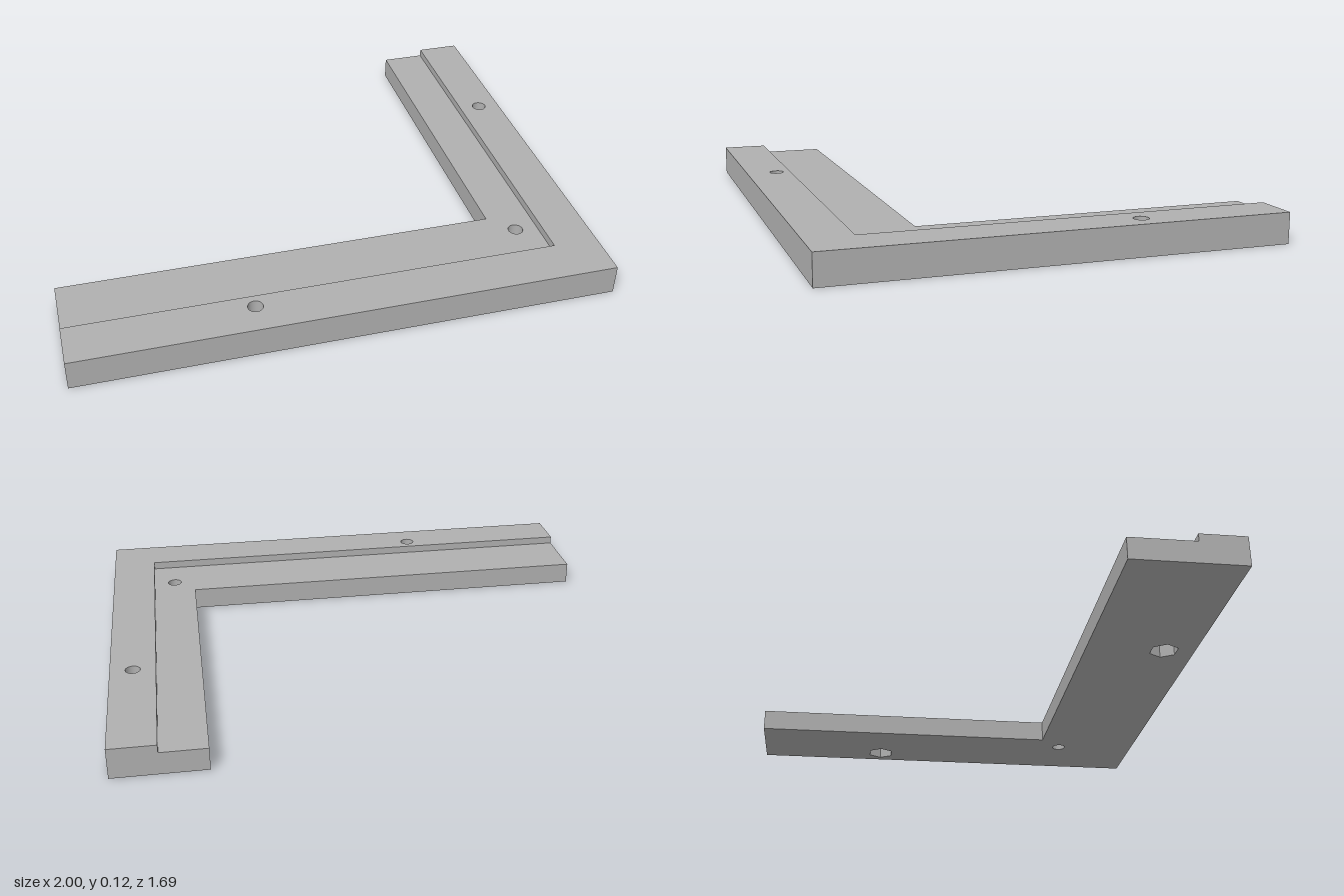
import * as THREE from 'three';
import { mergeVertices } from 'three/addons/utils/BufferGeometryUtils.js';

const X = 1, Z = 0.845;                 // half extents
const POCKET = 0.05, TREAD = 0.085, TOP = 0.115; // heights

// Points are [x, z]. Outlines run so that their walls face outwards.
const corner = (x, z) => [[-X, Z], [X, Z], [X, -Z], [x, -Z], [x, z], [-X, z]];
const bracketOutline = corner(0.66, 0.42);
const rimOutline = corner(0.83, 0.67);
const treadOutline = [[-X, 0.67], [0.83, 0.67], [0.83, -Z], [0.66, -Z], [0.66, 0.42], [-X, 0.42]];

// Ring of points running the other way, so its walls face the axis.
function ring([cx, cz], r, n) {
  return Array.from({ length: n }, (_, i) => {
    const t = (i / n) * Math.PI * 2;
    return [cx + r * Math.cos(t), cz + r * Math.sin(t)];
  });
}

// Flat face at height y, facing up (dir 1) or down (dir -1).
function cap(outline, holes, y, dir) {
  const flat = pts => pts.map(([x, z]) => new THREE.Vector2(x, -dir * z));
  const shape = new THREE.Shape(flat(outline));
  shape.holes = holes.map(h => new THREE.Path(flat(h)));
  return new THREE.ShapeGeometry(shape).rotateX(-dir * Math.PI / 2).translate(0, y, 0);
}

// Upright walls along a closed loop of points.
function wall(pts, y0, y1, smooth = false) {
  const pos = [];
  pts.forEach(([ax, az], i) => {
    const [bx, bz] = pts[(i + 1) % pts.length];
    pos.push(ax, y0, az, bx, y0, bz, bx, y1, bz, ax, y0, az, bx, y1, bz, ax, y1, az);
  });
  let geo = new THREE.BufferGeometry();
  geo.setAttribute('position', new THREE.Float32BufferAttribute(pos, 3));
  if (smooth) geo = mergeVertices(geo);
  geo.computeVertexNormals();
  return geo;
}

export function createModel() {
  const model = new THREE.Group();
  model.name = 'cornerBracket';
  const grey = new THREE.MeshStandardMaterial({ color: 0xb0b0b0 });
  grey.name = 'grey';
  const add = (name, geo) => {
    const mesh = new THREE.Mesh(geo, grey);
    mesh.name = name;
    model.add(mesh);
  };

  const rimCentres = [[-0.325, 0.725], [0.915, -0.31]];
  const rimHoles = rimCentres.map(c => ring(c, 0.028, 32));
  const nutPockets = rimCentres.map(c => ring(c, 0.057, 6));
  const cornerHole = ring([0.745, 0.51], 0.028, 32);

  // L-shaped body with a lower inner ledge and a raised outer rim
  add('underside', cap(bracketOutline, [...nutPockets, cornerHole], 0, -1));
  add('bodySides', wall(bracketOutline, 0, TREAD));
  add('ledge', cap(treadOutline, [cornerHole], TREAD, 1));
  add('rimSides', wall(rimOutline, TREAD, TOP));
  add('rimTop', cap(rimOutline, rimHoles, TOP, 1));

  // Plain screw hole at the corner
  add('cornerHole', wall(cornerHole, 0, TREAD, true));

  // Rim screw holes opening into hexagonal nut pockets below
  rimHoles.forEach((hole, i) => {
    add('rimHole', wall(hole, POCKET, TOP, true));
    add('nutPocketSides', wall(nutPockets[i], 0, POCKET));
    add('nutPocketCeiling', cap(nutPockets[i], [hole], POCKET, -1));
  });
  return model;
}
